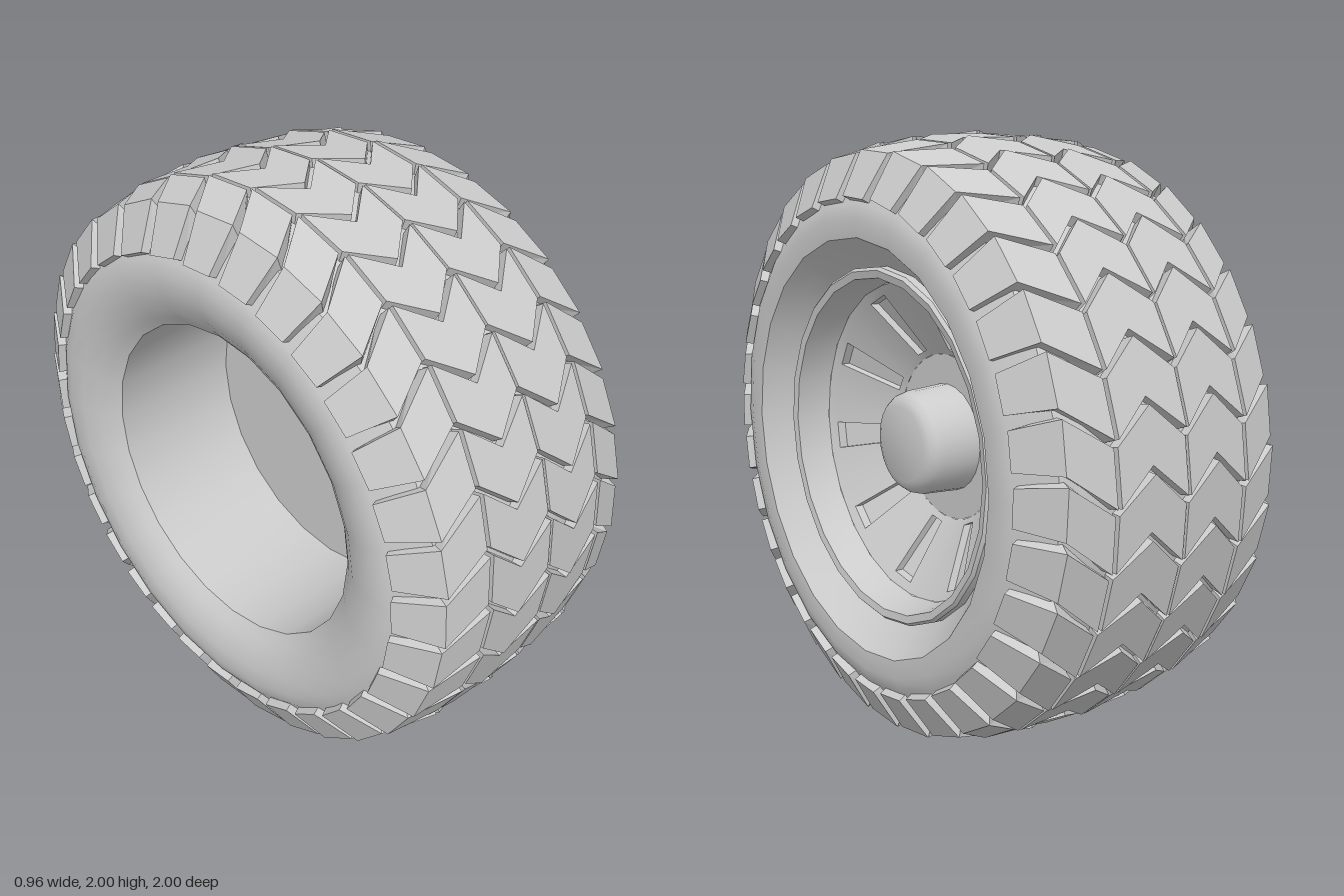
import * as THREE from 'three';
import { mergeGeometries, toCreasedNormals } from 'three/addons/utils/BufferGeometryUtils.js';

const BLOCKS = 32;
const SLOTS = 10;
const rad = THREE.MathUtils.degToRad;
const grey = new THREE.MeshStandardMaterial({ color: 0xcccccc });

// Point on the wheel: x along the axle, angle runs from +z towards +y
const polar = (x, r, deg) => [x, r * Math.sin(rad(deg)), r * Math.cos(rad(deg))];

function quadsToGeometry(quads) {
  const pos = [];
  for (const [a, b, c, d] of quads) pos.push(...a, ...b, ...c, ...a, ...c, ...d);
  const g = new THREE.BufferGeometry();
  g.setAttribute('position', new THREE.Float32BufferAttribute(pos, 3));
  g.computeVertexNormals();
  return g;
}

// Surface of revolution around the x axis from [radius, x] points
function revolve(points, segments, crease = 0.6) {
  const g = new THREE.LatheGeometry(points.map(([r, x]) => new THREE.Vector2(r, x)), segments);
  g.rotateZ(-Math.PI / 2);
  return toCreasedNormals(g, crease);
}

// One flat-topped block lying on the wheel's tangent plane;
// stations: [x, height, base x, base height, tangential shift, half width]
function treadBlock(stations, side) {
  const rings = stations.map(([x, h, bx, bh, shift, half]) => [
    [side * bx, shift - half, bh], [side * x, shift - half, h],
    [side * x, shift + half, h], [side * bx, shift + half, bh],
  ]);
  if (side < 0) rings.reverse();
  const quads = [rings[0], [...rings[rings.length - 1]].reverse()];
  for (let i = 0; i < rings.length - 1; i++) {
    for (let k = 0; k < 4; k++) {
      const n = (k + 1) % 4;
      quads.push([rings[i][k], rings[i + 1][k], rings[i + 1][n], rings[i][n]]);
    }
  }
  return quadsToGeometry(quads);
}

function treadRow(stations, side) {
  const block = treadBlock(stations, side);
  const copies = [];
  for (let i = 0; i < BLOCKS; i++) {
    copies.push(block.clone().rotateX((i / BLOCKS) * Math.PI * 2 - rad(3)));
  }
  return mergeGeometries(copies);
}

// Conical dish with recessed slots
function dishGeometry() {
  const radii = [0.28, 0.3, 0.5, 0.53];
  const at = (r, a, depth = 0) => polar(0.13 + (r - 0.28) * 0.6 - depth, r, a);
  const quads = [];
  for (let s = 0; s < SLOTS; s++) {
    const mid = 100 + (s * 360) / SLOTS;
    const angles = [-5.3, 5.3, 18, 30.7].map((a) => a + mid);
    for (let i = 0; i < 3; i++) {
      for (let j = 0; j < 3; j++) {
        const corners = [[radii[i], angles[j]], [radii[i], angles[j + 1]],
          [radii[i + 1], angles[j + 1]], [radii[i + 1], angles[j]]];
        const top = corners.map(([r, a]) => at(r, a));
        if (i !== 1 || j !== 0) {
          quads.push(top);
          continue;
        }
        const floor = corners.map(([r, a]) => at(r, a, 0.03));
        quads.push(floor);
        for (let k = 0; k < 4; k++) {
          const n = (k + 1) % 4;
          quads.push([floor[n], floor[k], top[k], top[n]]);
        }
      }
    }
  }
  return toCreasedNormals(quadsToGeometry(quads), 0.6);
}

export function createModel() {
  const wheel = new THREE.Group();
  wheel.name = 'wheel';
  const add = (name, geometry) => {
    const mesh = new THREE.Mesh(geometry, grey);
    mesh.name = name;
    wheel.add(mesh);
  };

  // Tyre body: rounded bead on the open side, creased recess around the rim
  const crown = [[0.68, 0.47], [0.74, 0.475], [0.785, 0.462], [0.9, 0.39], [0.945, 0.25]];
  add('tyreBody', revolve([
    [0.55, -0.4], [0.58, -0.425], [0.62, -0.45],
    ...crown.map(([r, x]) => [r, -x]),
    [0.965, 0],
    ...crown.reverse(),
    [0.635, 0.415], [0.58, 0.355],
  ], 24));

  // Chevron tread in the middle and shoulder blocks at the edges
  const centreBlock = [
    [0.005, 0.99, 0.005, 0.93, 0.052, 0.085],
    [0.125, 0.982, 0.125, 0.92, -0.052, 0.085],
    [0.243, 0.974, 0.243, 0.91, 0.052, 0.085],
  ];
  const shoulderBlock = [
    [0.257, 0.973, 0.257, 0.91, 0.052, 0.085],
    [0.4, 0.938, 0.37, 0.87, -0.052, 0.078],
    [0.48, 0.8, 0.44, 0.78, -0.046, 0.058],
  ];
  for (const [name, side] of [['left', 1], ['right', -1]]) {
    add(name + 'CentreTread', treadRow(centreBlock, side));
    add(name + 'ShoulderTread', treadRow(shoulderBlock, side));
  }

  // Rim lip, dish, hub and the hollow back
  add('rimLip', revolve([[0.585, 0.34], [0.585, 0.39], [0.575, 0.4], [0.55, 0.395], [0.53, 0.28]], 24, 0.5));
  add('dish', dishGeometry());
  add('hub', revolve([[0.28, 0.13], [0.18, 0.13], [0.172, 0.26], [0.165, 0.285],
    [0.15, 0.305], [0.125, 0.315], [0, 0.315]], 24));
  add('rimBarrel', revolve([[0, 0.075], [0.55, 0.075], [0.55, -0.4]], 24));

  wheel.position.y = 1;
  const model = new THREE.Group();
  model.name = 'wheelModel';
  model.add(wheel);
  return model;
}
